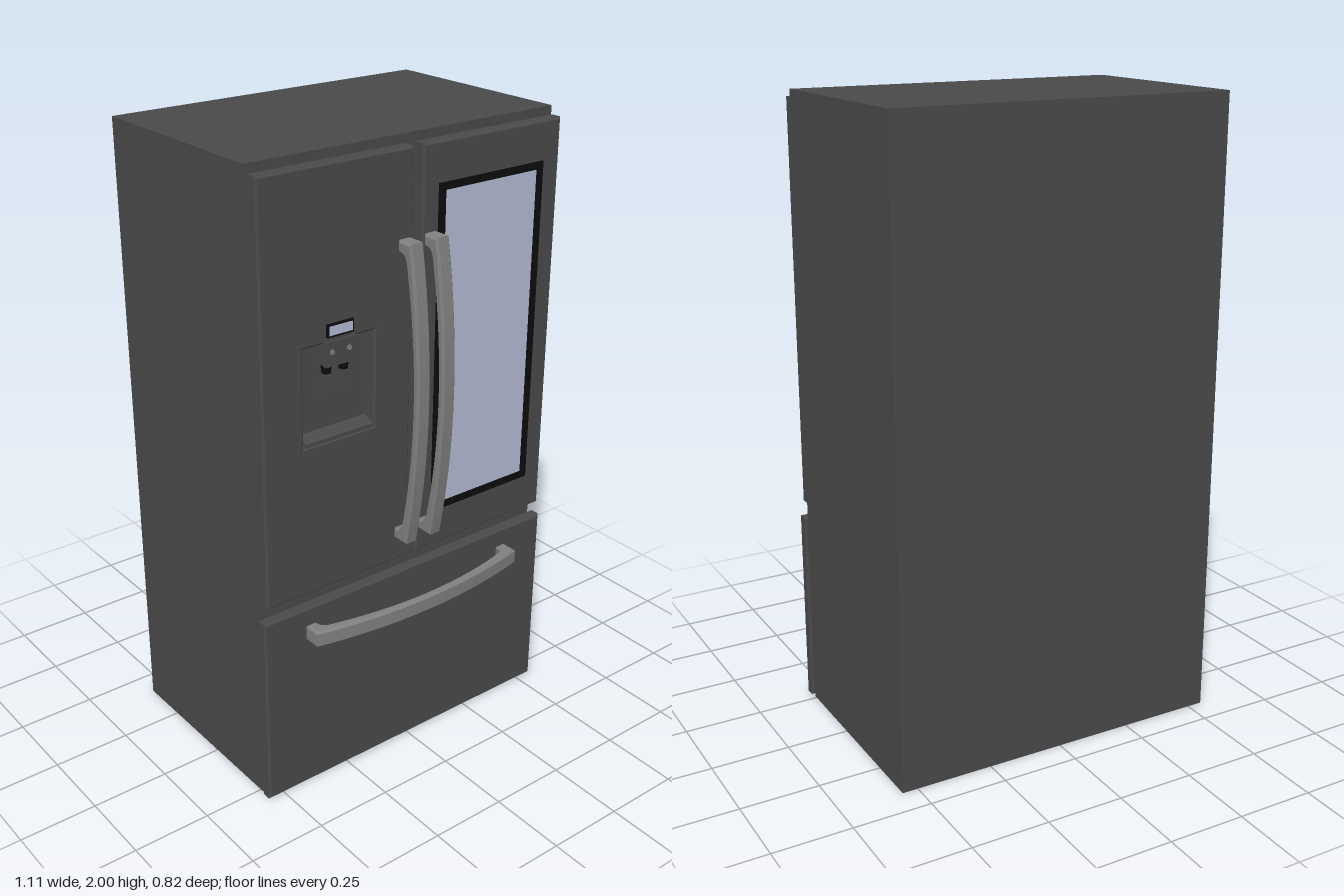
import * as THREE from 'three';

const paint = (color) => new THREE.MeshStandardMaterial({ color });
const DARK = paint(0x4a4a4a);
const STEEL = paint(0x808080);
const BLACK = paint(0x0c0c0c);
const GLASS = paint(0xb5bbd5);

function add(parent, name, geometry, material) {
  const mesh = new THREE.Mesh(geometry, material);
  mesh.name = name;
  parent.add(mesh);
  return mesh;
}

// Box given by its limits on each axis
function block(parent, name, [x0, x1], [y0, y1], [z0, z1], material) {
  const mesh = add(parent, name, new THREE.BoxGeometry(x1 - x0, y1 - y0, z1 - z0), material);
  mesh.position.set((x0 + x1) / 2, (y0 + y1) / 2, (z0 + z1) / 2);
  return mesh;
}

function rect(Type, x0, x1, y0, y1) {
  return new Type([[x0, y0], [x1, y0], [x1, y1], [x0, y1]].map((p) => new THREE.Vector2(...p)));
}

// Panel with slightly chamfered edges and an optional opening
function panel(parent, name, [x0, x1], [y0, y1], [z0, z1], hole) {
  const bevel = 0.006;
  const shape = rect(THREE.Shape, x0, x1, y0, y1);
  if (hole) shape.holes.push(hole);
  const geometry = new THREE.ExtrudeGeometry(shape, {
    depth: z1 - z0 - 2 * bevel, bevelEnabled: true, bevelSize: bevel,
    bevelThickness: bevel, bevelOffset: -bevel, bevelSegments: 1,
  });
  geometry.translate(0, 0, z0 + bevel);
  return add(parent, name, geometry, DARK);
}

// Bowed bar with a post at each end, upright and standing out along +z
function handleGeometry(half, width) {
  const bevel = 0.007;
  const s = new THREE.Shape();
  s.moveTo(0, -half);
  s.lineTo(0.056, -half);
  s.quadraticCurveTo(0.148, 0, 0.056, half);
  s.lineTo(0, half);
  s.lineTo(0, half - 0.035);
  s.lineTo(0.02, half - 0.04);
  s.quadraticCurveTo(0.034, half - 0.045, 0.038, half - 0.075);
  s.quadraticCurveTo(0.116, 0, 0.038, -half + 0.075);
  s.quadraticCurveTo(0.034, -half + 0.045, 0.02, -half + 0.04);
  s.lineTo(0, -half + 0.035);
  const geometry = new THREE.ExtrudeGeometry(s, {
    depth: width - 2 * bevel, curveSegments: 14, bevelEnabled: true, bevelSize: bevel,
    bevelThickness: bevel, bevelOffset: -bevel, bevelSegments: 1,
  });
  return geometry.translate(0, 0, bevel - width / 2).rotateY(-Math.PI / 2);
}

function buildDispenser() {
  const g = new THREE.Group();
  g.name = 'dispenser';
  block(g, 'recessBack', [-0.405, -0.155], [1.17, 1.47], [0.255, 0.267], DARK);
  // Sloping drip tray
  const tray = new THREE.Shape();
  tray.moveTo(0.262, 1.17);
  tray.lineTo(0.312, 1.17);
  tray.lineTo(0.312, 1.182);
  tray.lineTo(0.262, 1.2);
  const trayGeometry = new THREE.ExtrudeGeometry(tray, { depth: 0.24, bevelEnabled: false });
  trayGeometry.rotateY(-Math.PI / 2);
  add(g, 'dripTray', trayGeometry, DARK).position.x = -0.16;
  // Control housing with buttons, nozzles and paddles
  block(g, 'controlHousing', [-0.335, -0.225], [1.425, 1.475], [0.262, 0.316], DARK);
  block(g, 'nozzleHousing', [-0.325, -0.235], [1.395, 1.425], [0.262, 0.308], DARK);
  for (const x of [-0.31, -0.25]) {
    const button = add(g, 'button', new THREE.CylinderGeometry(0.008, 0.008, 0.004, 12), STEEL);
    button.rotation.x = Math.PI / 2;
    button.position.set(x, 1.443, 0.317);
    add(g, 'nozzle', new THREE.CylinderGeometry(0.017, 0.013, 0.026, 12), BLACK)
      .position.set(x, 1.385, 0.288);
    const paddle = block(g, 'paddle', [x - 0.016, x + 0.016], [1.3, 1.375], [0.266, 0.272], DARK);
    paddle.rotation.x = -0.08;
  }
  // Small display above the recess
  block(g, 'displayFrame', [-0.326, -0.234], [1.487, 1.526], [0.305, 0.317], BLACK);
  block(g, 'displayScreen', [-0.32, -0.24], [1.493, 1.52], [0.31, 0.319], GLASS);
  return g;
}

export function createModel() {
  const model = new THREE.Group();
  model.name = 'refrigerator';

  // Cabinet with a narrower seal strip behind the doors
  block(model, 'cabinet', [-0.55, 0.55], [0, 2], [-0.41, 0.262], DARK);
  block(model, 'doorSeal', [-0.53, -0.03], [0.71, 1.955], [0.258, 0.272], DARK);
  block(model, 'doorSeal', [0.03, 0.53], [0.71, 1.955], [0.258, 0.272], DARK);
  block(model, 'drawerSeal', [-0.535, 0.535], [0.02, 0.62], [0.258, 0.275], DARK);

  // Doors and freezer drawer
  const recess = rect(THREE.Path, -0.405, -0.155, 1.17, 1.47);
  panel(model, 'rightDoor', [-0.545, -0.02], [0.69, 1.975], [0.265, 0.31], recess);
  panel(model, 'leftDoor', [0.016, 0.545], [0.69, 1.975], [0.265, 0.31]);
  panel(model, 'freezerDrawer', [-0.557, 0.557], [0.003, 0.64], [0.27, 0.31]);
  model.add(buildDispenser());

  // Window in the left door
  const frame = rect(THREE.Shape, 0.072, 0.478, 0.81, 1.855);
  frame.holes.push(rect(THREE.Path, 0.098, 0.452, 0.835, 1.832));
  const frameGeometry = new THREE.ExtrudeGeometry(frame, { depth: 0.008, bevelEnabled: false });
  add(model, 'windowFrame', frameGeometry, BLACK).position.z = 0.305;
  block(model, 'windowGlass', [0.098, 0.452], [0.835, 1.832], [0.303, 0.3115], GLASS);

  // Handles
  const doorHandle = handleGeometry(0.475, 0.05);
  for (const x of [-0.049, 0.046]) {
    add(model, 'doorHandle', doorHandle, STEEL).position.set(x, 1.243, 0.308);
  }
  const drawerHandle = handleGeometry(0.404, 0.055).rotateZ(Math.PI / 2);
  add(model, 'drawerHandle', drawerHandle, STEEL).position.set(-0.004, 0.557, 0.308);

  return model;
}
